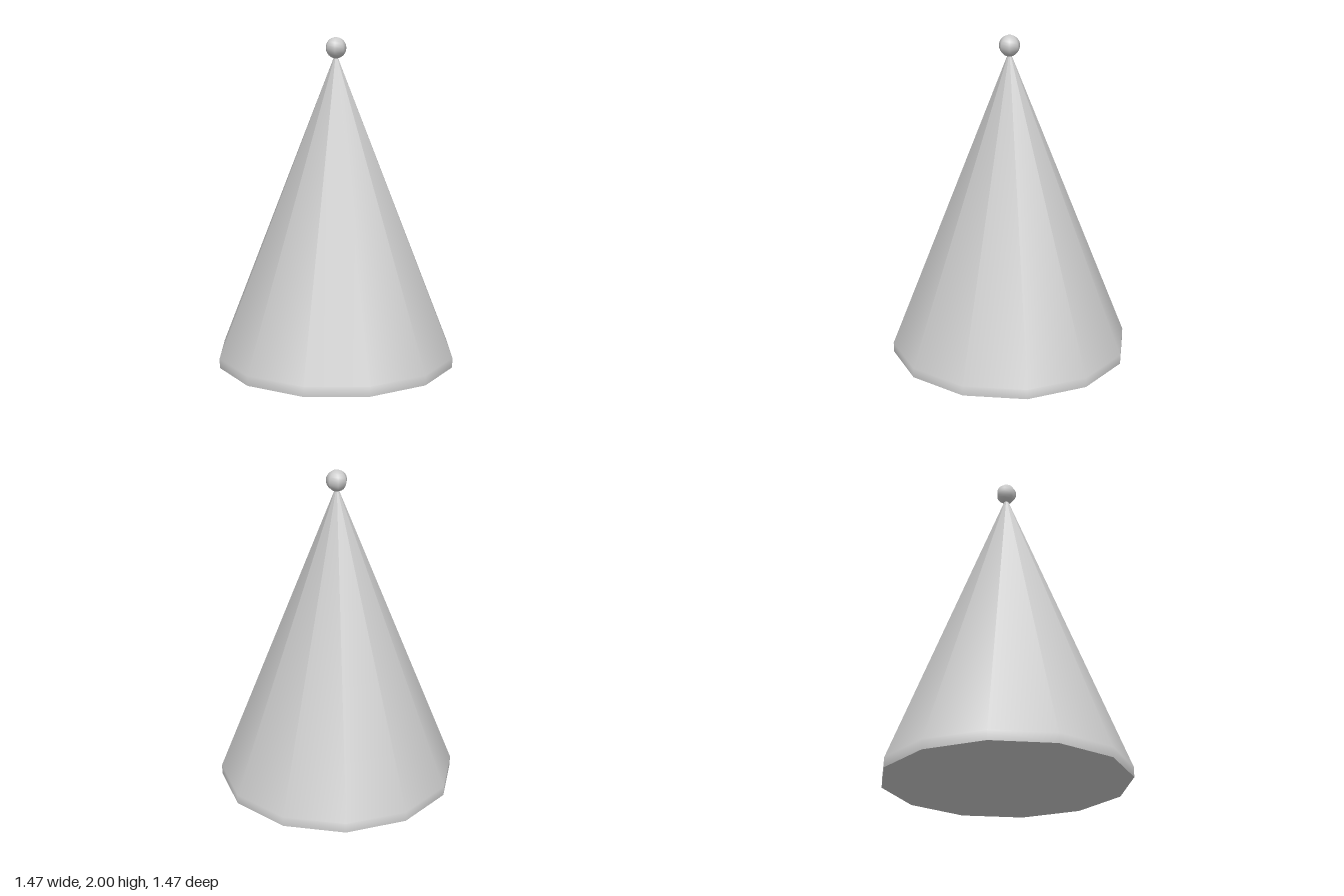
import * as THREE from 'three';

export function createModel() {
  const group = new THREE.Group();
  const material = new THREE.MeshStandardMaterial({ color: 0xcccccc });
  const sides = 12;
  const radius = 0.737;

  function add(name, geometry) {
    const mesh = new THREE.Mesh(geometry, material);
    mesh.name = name;
    group.add(mesh);
    return mesh;
  }

  // Twelve-sided cone rising from a short upright rim
  const profile = [[radius, 0], [radius, 0.06], [0, 1.91]];
  add('cone', new THREE.LatheGeometry(profile.map(([x, y]) => new THREE.Vector2(x, y)), sides));

  // Flat underside
  add('base', new THREE.CircleGeometry(radius, sides)).rotation.x = Math.PI / 2;

  // Small seven-sided ball on the tip, one corner towards +x
  const ball = add('tipBall', new THREE.SphereGeometry(0.064, 7, 12));
  ball.position.y = 1.936;
  ball.rotation.y = Math.PI;

  return group;
}
